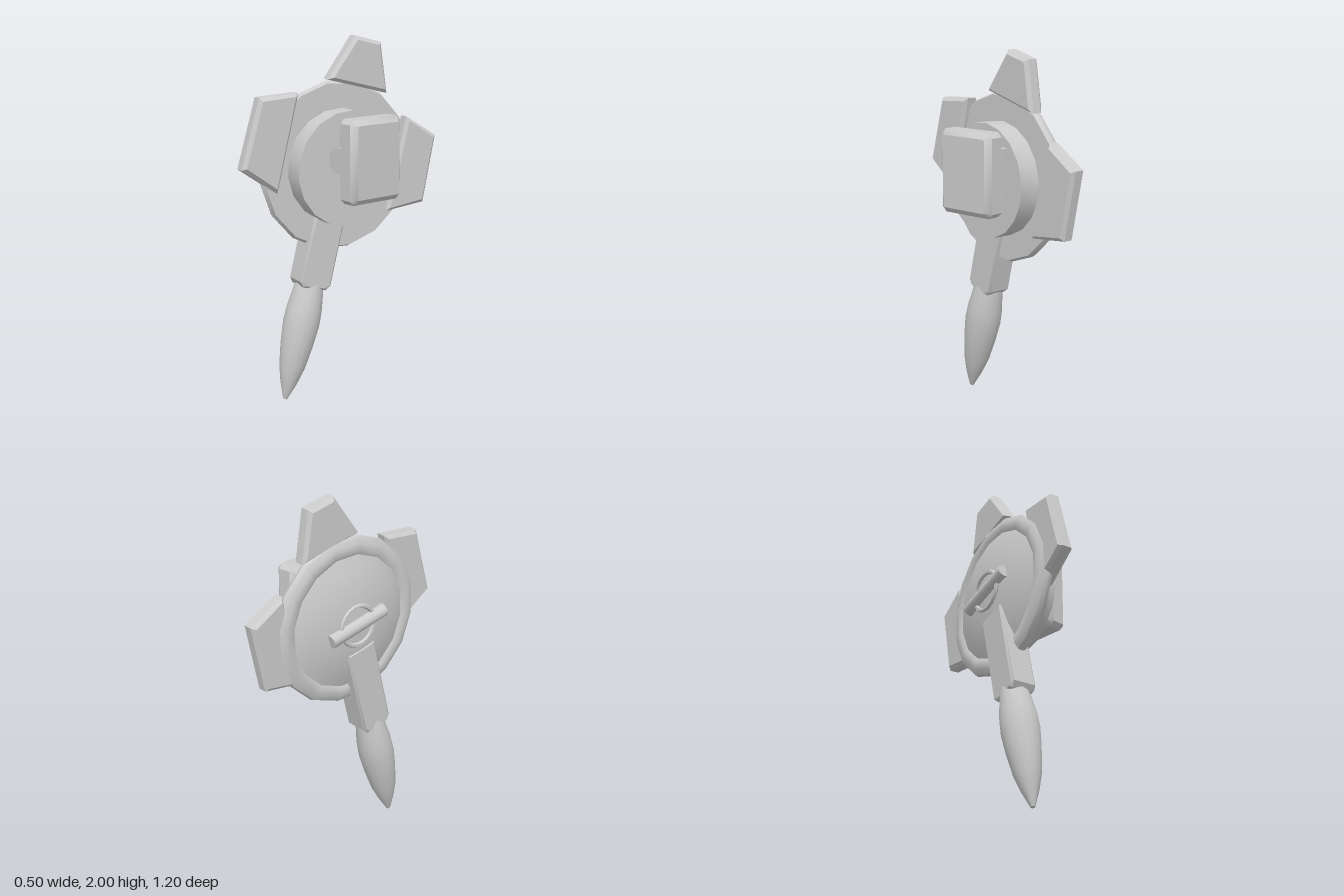
import * as THREE from 'three';
import { toCreasedNormals } from 'three/addons/utils/BufferGeometryUtils.js';

const grey = new THREE.MeshStandardMaterial({ color: 0xcccccc });
grey.name = 'light grey';

function add(parent, name, geometry, x = 0, y = 0, z = 0) {
  const mesh = new THREE.Mesh(toCreasedNormals(geometry, 0.6), grey);
  mesh.name = name;
  mesh.position.set(x, y, z);
  parent.add(mesh);
  return mesh;
}

// Bevelled plate: outline given as [z, y], thickness centred along x
function plate(points, thickness, bevel) {
  const shape = new THREE.Shape(points.map(([z, y]) => new THREE.Vector2(-z, y)));
  const geo = new THREE.ExtrudeGeometry(shape, {
    depth: thickness - 2 * bevel, bevelThickness: bevel, bevelSize: bevel,
    bevelOffset: -bevel, bevelSegments: 1,
  });
  geo.translate(0, 0, bevel - thickness / 2);
  return geo.rotateY(Math.PI / 2);
}

// Rectangle with cut corners, as [z, y]
function cutRect(w, h, c) {
  const a = w / 2, b = h / 2;
  return [[a - c, -b], [a, c - b], [a, b - c], [a - c, b],
    [c - a, b], [-a, b - c], [-a, c - b], [c - a, -b]];
}

const lathe = (points, sides) =>
  new THREE.LatheGeometry(points.map(([r, y]) => new THREE.Vector2(r, y)), sides);

export function createModel() {
  const model = new THREE.Group();
  model.name = 'shield';

  // Everything on the disc shares one frame: x is the disc axis, -y the blade
  const disc = new THREE.Group();
  disc.name = 'discAssembly';
  disc.position.set(0.055, 1.3, 0.025);
  disc.rotation.set(-14 * Math.PI / 180, -10 * Math.PI / 180, 0, 'YXZ');
  model.add(disc);

  // Domed dish with a rolled rim
  add(disc, 'dish', lathe([
    [0, -0.245], [0.1, -0.243], [0.2, -0.23], [0.3, -0.205], [0.37, -0.178],
    [0.39, -0.188], [0.43, -0.187], [0.46, -0.168], [0.467, -0.145], [0.455, -0.12], [0, -0.12],
  ], 16).rotateZ(-Math.PI / 2));

  // Thick drum on the mounting side
  add(disc, 'drum', new THREE.CylinderGeometry(0.315, 0.315, 0.13, 18).rotateZ(-Math.PI / 2), -0.065);

  // Round boss and grip bar on the dome
  add(disc, 'bossRing', new THREE.TorusGeometry(0.11, 0.013, 6, 20).rotateY(Math.PI / 2), -0.247);
  add(disc, 'gripBar', new THREE.CylinderGeometry(0.037, 0.037, 0.37, 12).rotateX(Math.PI / 2), -0.245);

  // Three fins
  add(disc, 'topFin', plate([[0.19, 0.44], [0.083, 0.7], [-0.083, 0.7], [-0.19, 0.44]], 0.09, 0.02), -0.125);
  for (const [name, s] of [['frontFin', 1], ['rearFin', -1]]) {
    const outline = [[0.35, -0.203], [0.585, -0.115], [0.57, 0.27], [0.35, 0.338]];
    add(disc, name, plate(outline.map(([z, y]) => [s * z, y]), 0.09, 0.02), -0.125);
  }

  // Flat arm carrying the blade
  add(disc, 'bladeArm', plate([
    [0.095, -0.15], [0.095, -0.66], [0.07, -0.69], [-0.07, -0.69], [-0.095, -0.66], [-0.095, -0.15],
  ], 0.15, 0.012), -0.165);

  // Round pointed blade
  add(disc, 'blade', lathe([
    [0, -1.34], [0.012, -1.338], [0.048, -1.24], [0.073, -1.15], [0.092, -1.02],
    [0.103, -0.9], [0.1, -0.82], [0.08, -0.67], [0.062, -0.6], [0, -0.6],
  ], 16), -0.167);

  // Hinge between the drum and the mounting block
  add(model, 'hingeBlock', new THREE.BoxGeometry(0.11, 0.27, 0.26), 0.07, 1.365, -0.04);
  add(model, 'hingePin', new THREE.CylinderGeometry(0.07, 0.07, 0.33, 16).rotateX(Math.PI / 2), 0.115, 1.365, 0);

  // Bevelled mounting block
  add(model, 'mountBlock', plate(cutRect(0.35, 0.45, 0.025), 0.135, 0.03), 0.182, 1.365, -0.005);

  return model;
}
